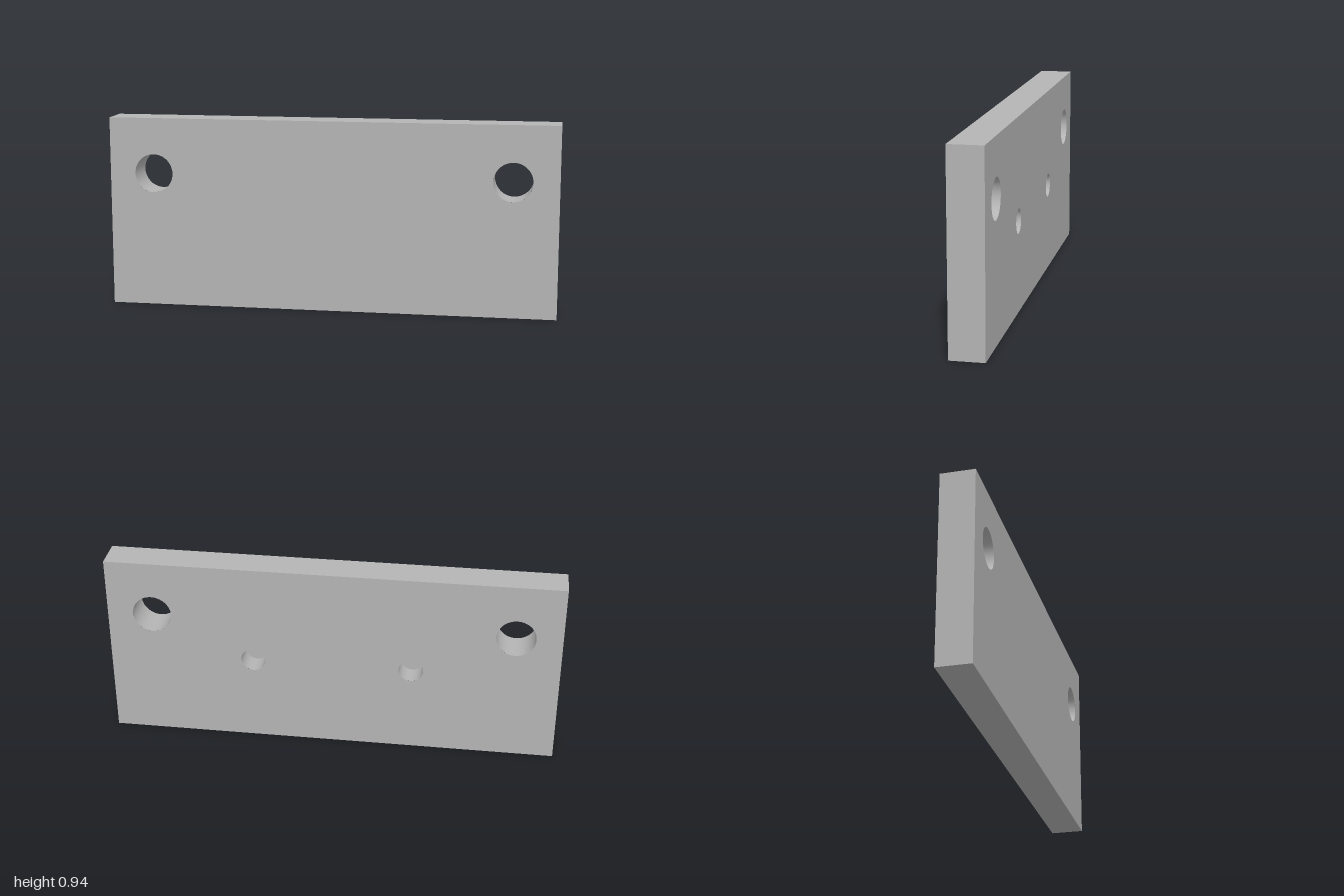
import * as THREE from 'three';

const LENGTH = 2.214, HEIGHT = 0.94, THICK = 0.165, SEGMENTS = 48;
const bolts = [-0.885, 0.885].map(x => ({ x, y: 0.665, r: 0.095, depth: THICK }));
const pins = [-0.389, 0.389].map(x => ({ x, y: 0.444, r: 0.06, depth: 0.107 }));

// Rectangular face pierced by round holes
function face(holes) {
  const w = LENGTH / 2;
  const shape = new THREE.Shape([[-w, 0], [w, 0], [w, HEIGHT], [-w, HEIGHT]].map(p => new THREE.Vector2(...p)));
  for (const h of holes) shape.holes.push(new THREE.Path().absarc(h.x, h.y, h.r, 0, Math.PI * 2, true));
  return new THREE.ShapeGeometry(shape, SEGMENTS);
}

export function createModel() {
  const steel = new THREE.MeshStandardMaterial({ color: 0xb4b4b4 });
  steel.name = 'steel grey';
  const plate = new THREE.Group();
  plate.name = 'mountingPlate';
  const add = (name, geometry) => {
    const mesh = new THREE.Mesh(geometry, steel);
    mesh.name = name;
    plate.add(mesh);
  };

  // Broad faces: only the back has the blind pin holes
  add('frontFace', face(bolts).translate(0, 0, THICK / 2));
  add('backFace', face([...bolts, ...pins]).rotateY(Math.PI).translate(0, 0, -THICK / 2));

  // Narrow rim: the four side faces of a box, without its front and back
  const rim = new THREE.BoxGeometry(LENGTH, HEIGHT, THICK).translate(0, HEIGHT / 2, 0);
  rim.setIndex(Array.from(rim.index.array.slice(0, 24)));
  rim.clearGroups();
  add('rim', rim);

  // Hole walls, facing inwards, bored from the back face
  for (const h of [...bolts, ...pins]) {
    const profile = [new THREE.Vector2(h.r, h.depth), new THREE.Vector2(h.r, 0)];
    const wall = new THREE.LatheGeometry(profile, SEGMENTS).rotateX(Math.PI / 2);
    add(h.depth < THICK ? 'pinHoleWall' : 'boltHoleWall', wall.translate(h.x, h.y, -THICK / 2));
  }

  // Floors of the blind holes
  for (const h of pins) {
    const floor = new THREE.CircleGeometry(h.r, SEGMENTS).rotateY(Math.PI);
    add('pinHoleFloor', floor.translate(h.x, h.y, h.depth - THICK / 2));
  }

  plate.rotation.y = Math.PI / 6;
  const model = new THREE.Group();
  model.name = 'model';
  model.add(plate);
  return model;
}
